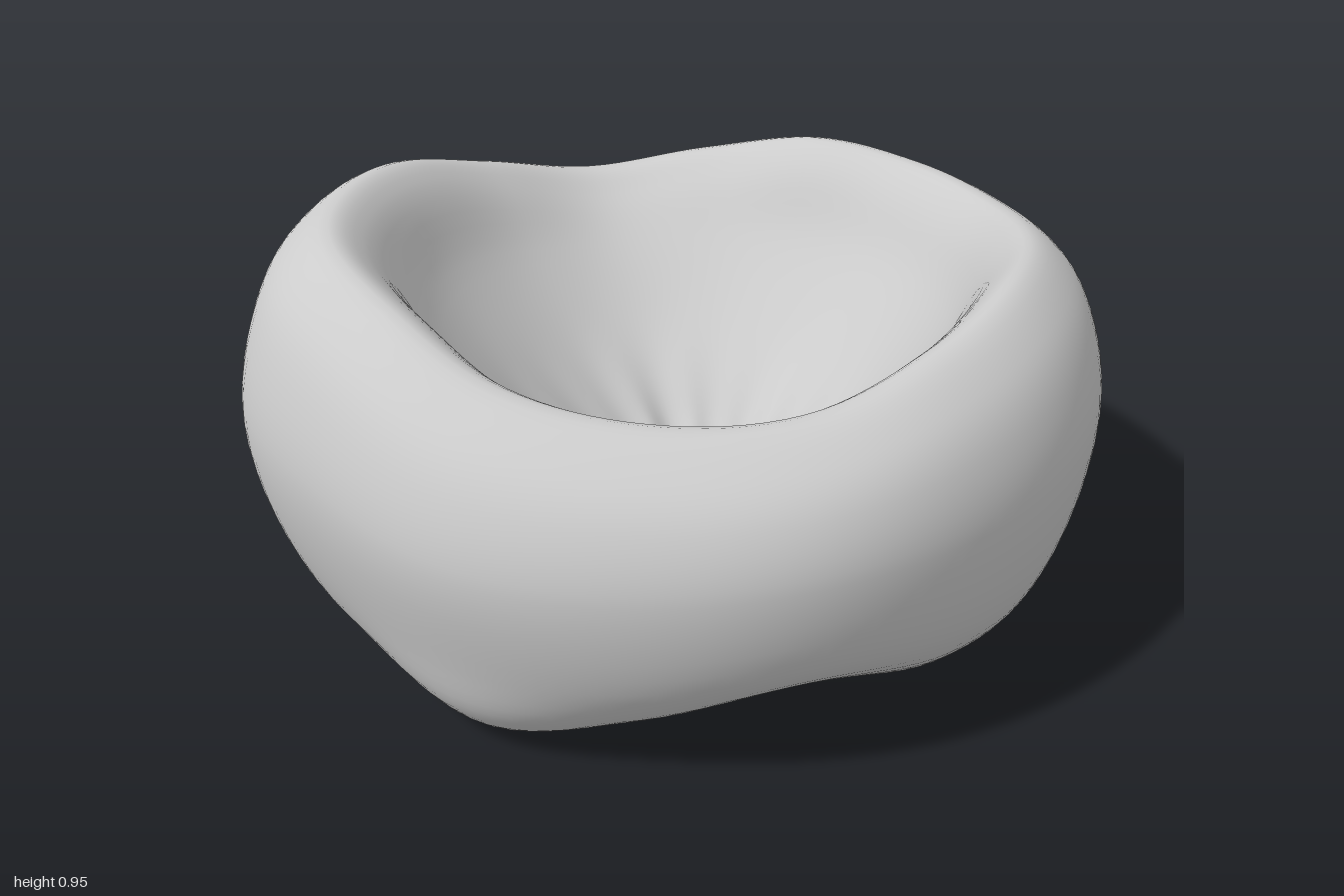
import * as THREE from 'three';

// Rings of values every 22.5 degrees from +x towards +z:
// rim crest height, foot height, foot radius, inner underside height, outline radius
const RIM = [.87, .89, .895, .84, .775, .765, .80, .88, .935, .945, .925, .85, .785, .83, .89, .88];
const FOOT = [.10, .06, .03, .05, .12, .06, .02, .02, .02, .025, .035, .11, .13, .12, .10, .10];
const FOOT_R = [.68, .68, .72, .68, .64, .70, .81, .75, .72, .74, .72, .67, .66, .69, .76, .72];
const UNDER = [.08, .07, .05, .07, .11, .08, .05, .03, .015, 0, .03, .08, .11, .12, .11, .10];
const OUTLINE = [.99, .99, .985, .985, 1, .985, .98, .965, .995, .985, .985, .99, 1, .995, .975, .985];

// Smooth periodic lookup of a ring of values
function ring(values, u) {
  const n = values.length, i = Math.floor(u * n), f = u * n - i;
  const [a, b, c, d] = [-1, 0, 1, 2].map(k => values[(i + k + n) % n]);
  return b + 0.5 * f * (c - a + f * (2 * a - 5 * b + 4 * c - d + f * (3 * (b - c) + d - a)));
}

// Closed cross-section: underside, outer wall, rim, bowl, centre pinch
function section(u) {
  const a = u * Math.PI * 2;
  const [top, low, foot, under, reach] = [RIM, FOOT, FOOT_R, UNDER, OUTLINE].map(v => ring(v, u));
  const lean = 0.06 * Math.sin(a);
  const y = t => low + (top - low) * t;
  const hole = 0.07 + 0.015 * Math.sin(2 * a + 1) + 0.01 * Math.sin(11 * a + 1);
  const pleat = 0.009 * Math.sin(9 * a) + 0.009 * Math.sin(14 * a + 2);
  const points = [
    [hole, .115 + pleat], [.24, .055 + under * 0.45 + pleat * 0.6], [.42, under],
    [foot, low], [foot * 0.45 + .545, y(.11)], [.955, y(.29)], [1, y(.55 + lean)],
    [.965, y(.77 + lean * 0.5)], [.9, y(.915)], [.79, top], [.71, top - .055],
    [.6, top * 0.46 + .266], [.45, top * 0.2 + .32], [.3, .345 + pleat * 0.5],
    [.19, .235 + pleat], [hole + .02, .15 + pleat],
  ].map(([r, h]) => new THREE.Vector3(r > 0.62 ? r * reach : r, h, 0));
  return new THREE.CatmullRomCurve3(points, true, 'centripetal');
}

export function createModel() {
  const around = 128, along = 80;
  const position = [], index = [];
  for (let i = 0; i < around; i++) {
    const curve = section(i / around), a = i / around * Math.PI * 2;
    for (let j = 0; j < along; j++) {
      const p = curve.getPoint(j / along);
      // the pinch sits a little off centre
      const shift = Math.max(0, 1 - p.x);
      position.push(p.x * Math.cos(a) + 0.08 * shift, p.y, p.x * Math.sin(a) + 0.035 * shift);
      const i2 = (i + 1) % around, j2 = (j + 1) % along;
      const A = i * along + j, B = i * along + j2, C = i2 * along + j, D = i2 * along + j2;
      index.push(A, B, C, B, D, C);
    }
  }
  const geometry = new THREE.BufferGeometry();
  geometry.setAttribute('position', new THREE.Float32BufferAttribute(position, 3));
  geometry.setIndex(index);
  geometry.computeVertexNormals();

  // Stand the body on the ground
  geometry.computeBoundingBox();
  geometry.translate(0, -geometry.boundingBox.min.y, 0);

  const body = new THREE.Mesh(geometry, new THREE.MeshStandardMaterial({ color: 0xcccccc }));
  body.name = 'bowlBody';
  const group = new THREE.Group();
  group.name = 'wavyBowl';
  group.add(body);
  return group;
}
